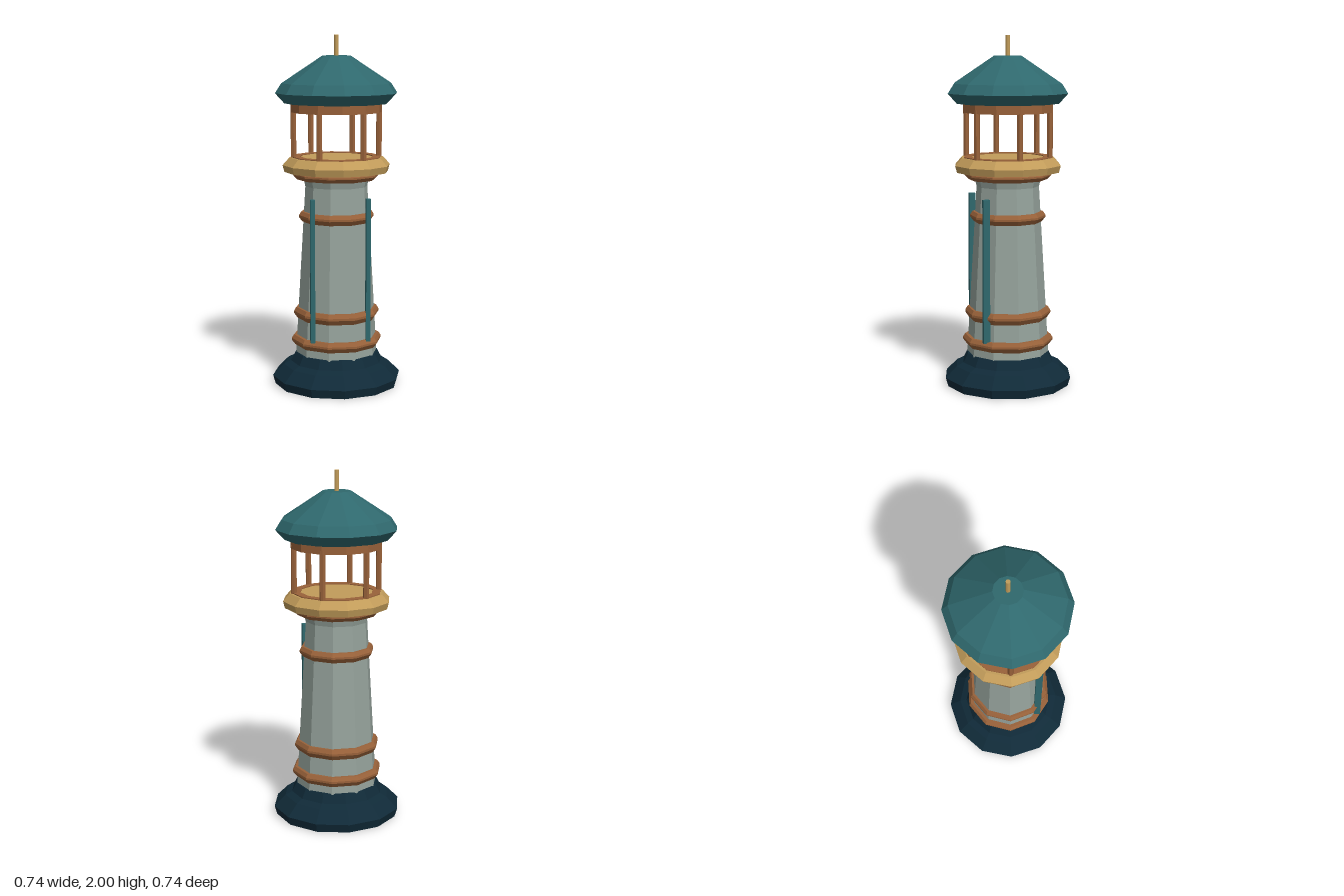
import * as THREE from 'three';

const mat = (name, color) => {
  const m = new THREE.MeshStandardMaterial({ color, flatShading: true });
  m.name = name;
  return m;
};

export function createModel() {
  const navy = mat('dark navy', 0x102a38);
  const stone = mat('grey stone', 0x96a39c);
  const wood = mat('brown wood', 0x99623a);
  const brass = mat('tan brass', 0xc29c5a);
  const teal = mat('teal', 0x2f686d);

  const model = new THREE.Group();
  const add = (name, geometry, material, x = 0, y = 0, z = 0) => {
    const mesh = new THREE.Mesh(geometry, material);
    mesh.name = name;
    mesh.position.set(x, y, z);
    model.add(mesh);
    return mesh;
  };
  // Faceted turned part from [radius, height] pairs, listed bottom to top on the outside
  const turned = (name, profile, sides, material) => {
    const start = sides === 10 ? Math.PI / 10 : 0;
    const pts = profile.map(([r, y]) => new THREE.Vector2(r, y));
    return add(name, new THREE.LatheGeometry(pts, sides, start), material);
  };

  // Stepped base
  turned('base', [[0, 0], [0.355, 0], [0.37, 0.05], [0.305, 0.115], [0.265, 0.135], [0.238, 0.187], [0, 0.187]], 12, navy);

  // Tapered tower with a small flare at the top
  turned('tower', [[0, 0.18], [0.235, 0.18], [0.178, 1.15], [0.19, 1.2], [0, 1.2]], 10, stone);

  // Bevelled bands round the tower: [outer radius, bottom, top]
  for (const [r, y0, y1] of [[0.26, 0.23, 0.288], [0.246, 0.387, 0.45], [0.215, 0.947, 1.005], [0.245, 1.19, 1.237]]) {
    const h = y1 - y0;
    turned('towerBand', [
      [r - 0.07, y0], [r - 0.02, y0], [r, y0 + h * 0.45], [r, y0 + h * 0.65], [r - 0.013, y1], [r - 0.07, y1],
    ], 10, wood);
  }

  // Two upright rods on the front
  for (const side of [-1, 1]) {
    add('frontRod', new THREE.BoxGeometry(0.025, 0.815, 0.038), teal, side * 0.157, 0.688, 0.17);
  }

  // Gallery deck and the ring on its floor
  turned('galleryDeck', [[0, 1.233], [0.297, 1.233], [0.307, 1.272], [0.268, 1.315], [0, 1.315]], 12, brass);
  turned('floorRing', [[0.255, 1.3], [0.255, 1.32], [0.208, 1.32], [0.208, 1.3]], 12, wood);

  // Lantern posts
  for (let i = 0; i < 6; i++) {
    const a = (i * Math.PI) / 3;
    add('lanternPost', new THREE.CylinderGeometry(0.017, 0.017, 0.28, 6), wood,
      0.244 * Math.cos(a), 1.45, 0.244 * Math.sin(a));
  }

  // Ring beam carrying the roof
  turned('lanternRing', [[0.22, 1.57], [0.26, 1.57], [0.26, 1.625], [0.22, 1.625], [0.22, 1.57]], 12, wood);

  // Roof and finial
  turned('roof', [[0, 1.62], [0.295, 1.62], [0.347, 1.677], [0.312, 1.732], [0.08, 1.885], [0, 1.885]], 12, teal);
  add('finial', new THREE.CylinderGeometry(0.0125, 0.0125, 0.13, 10), brass, 0, 1.935, 0);

  return model;
}
